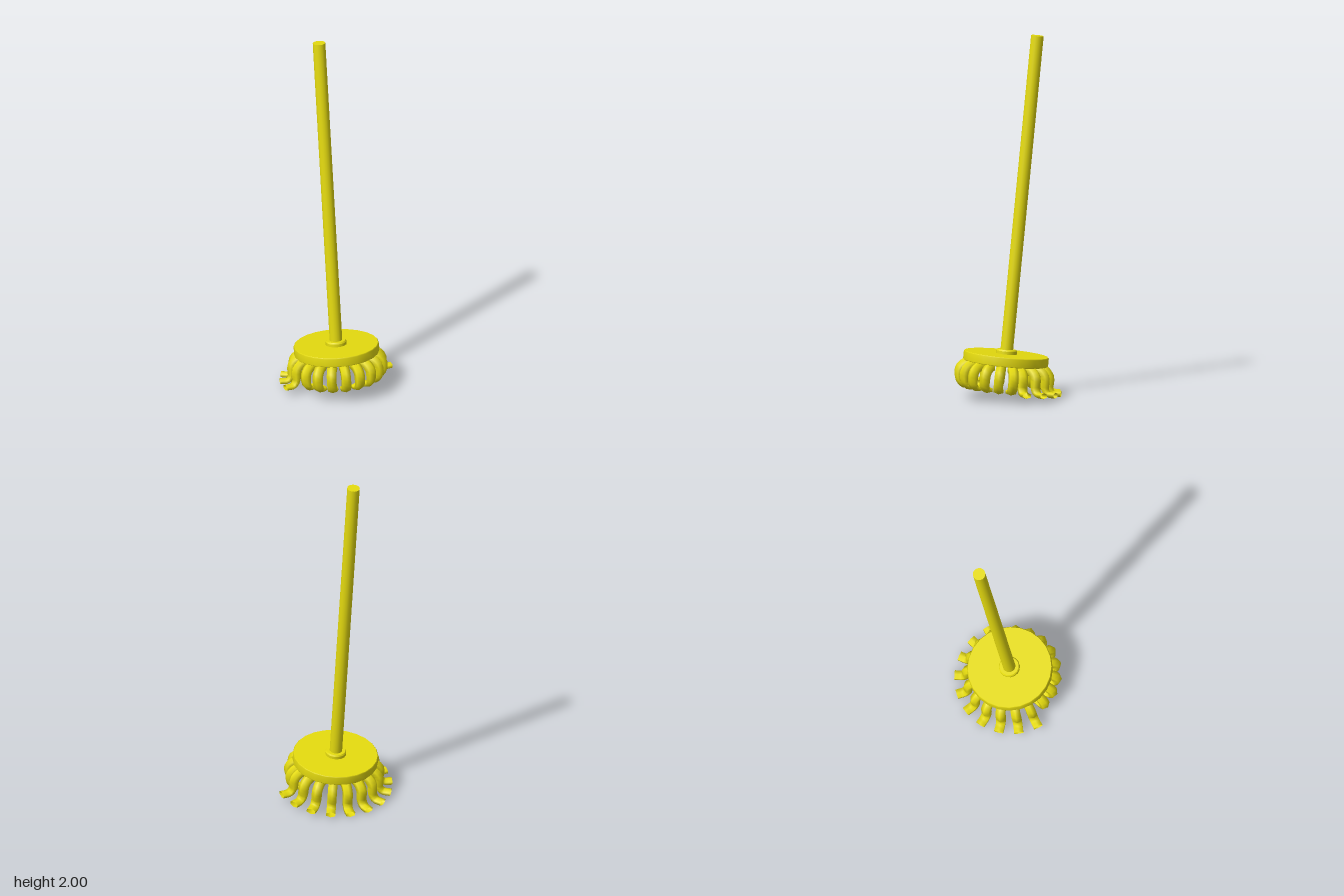
import * as THREE from 'three';
import { ParametricGeometry } from 'three/addons/geometries/ParametricGeometry.js';

const TILT = 0.109;
const DISC_BOTTOM = -0.052;
const STRAND_RADIUS = 0.029;

// Six-sided tube swept along a planar (radius, height) path, one corner facing outward,
// flattening towards its tip
function strandGeometry(points) {
  const curve = new THREE.CatmullRomCurve3(points.map(([r, y]) => new THREE.Vector3(r, y, 0)));
  return new ParametricGeometry((u, v, target) => {
    const p = curve.getPointAt(v);
    const t = curve.getTangentAt(v);
    const a = u * Math.PI * 2;
    const flatten = 1 - 0.42 * THREE.MathUtils.smoothstep(v, 0.45, 0.8);
    const c = Math.cos(a) * STRAND_RADIUS * flatten;
    target.set(p.x - t.y * c, p.y + t.x * c, Math.sin(a) * STRAND_RADIUS);
  }, 6, 12);
}

function latheGeometry(profile, segments) {
  return new THREE.LatheGeometry(profile.map(([r, y]) => new THREE.Vector2(r, y)), segments);
}

export function createModel() {
  const model = new THREE.Group();
  model.name = 'mop';
  const solid = new THREE.MeshStandardMaterial({ color: 0xe6dc0f });
  const open = new THREE.MeshStandardMaterial({ color: 0xe6dc0f, side: THREE.DoubleSide });

  // Everything leans back together; the origin is the centre of the disc's top
  const body = new THREE.Group();
  body.name = 'tiltedMop';
  body.position.set(0, 0.24, 0.005);
  body.rotation.x = -TILT;
  model.add(body);

  const add = (name, geometry, material, parent) => {
    const mesh = new THREE.Mesh(geometry, material);
    mesh.name = name;
    parent.add(mesh);
    return mesh;
  };

  // Pole
  const pole = add('pole', new THREE.CylinderGeometry(0.035, 0.035, 1.768, 16), solid, body);
  pole.position.y = 1.768 / 2;

  // Collar where the pole meets the head
  add('collar', latheGeometry([
    [0.058, -0.005], [0.058, 0.016], [0.058, 0.016], [0.053, 0.024], [0.053, 0.024], [0, 0.024],
  ], 16), solid, body);

  // Head disc with a small bevel; repeated points keep the edges crisp
  const b = DISC_BOTTOM;
  add('headDisc', latheGeometry([
    [0, b], [0.231, b], [0.231, b], [0.235, b + 0.005],
    [0.235, -0.005], [0.231, 0], [0.231, 0], [0, 0],
  ], 24), solid, body);

  // Strands: the front ones curl under, the back ones flick outward
  const strands = new THREE.Group();
  strands.name = 'strands';
  strands.position.y = DISC_BOTTOM;
  body.add(strands);

  const top = [[0.185, -0.014], [0.22, -0.023], [0.246, -0.05], [0.25, -0.088]];
  const curled = strandGeometry([...top, [0.245, -0.117], [0.225, -0.136], [0.19, -0.138]]);
  const flicked = strandGeometry([...top, [0.255, -0.115], [0.276, -0.138], [0.322, -0.139]]);

  // Angles run from +x through +z (the front)
  const addRow = (name, geometry, count, start, step) => {
    for (let i = 0; i < count; i++) {
      const strand = add(name, geometry, open, strands);
      strand.rotation.y = -THREE.MathUtils.degToRad(start + i * step);
    }
  };
  addRow('frontStrand', curled, 9, 16, 18.4);
  addRow('backStrand', flicked, 10, 183.5, 20);

  return model;
}
